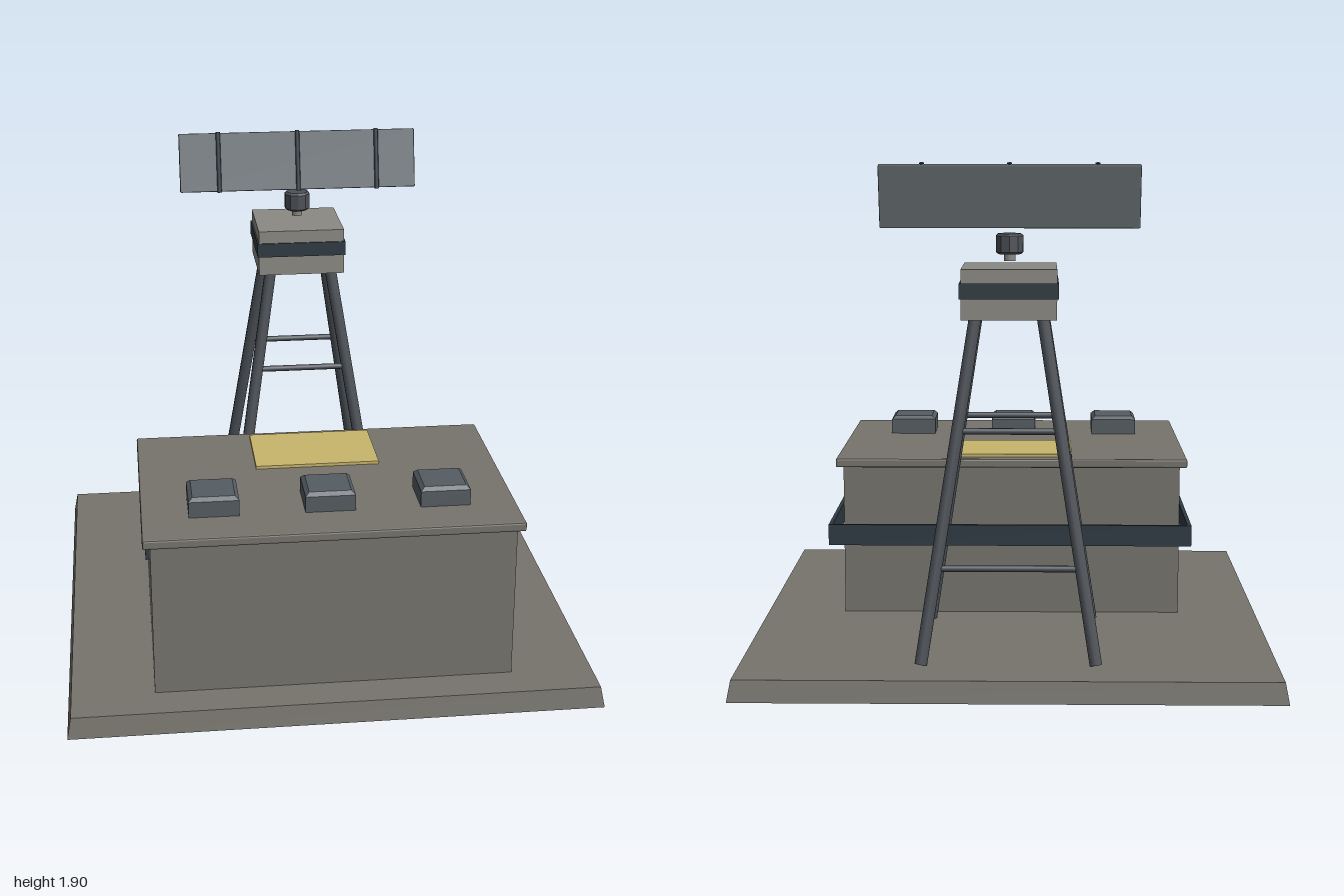
import * as THREE from 'three';
import { RoundedBoxGeometry } from 'three/addons/geometries/RoundedBoxGeometry.js';

const mat = (color, flatShading = false) => new THREE.MeshStandardMaterial({ color, flatShading });
const stone = mat(0x77746d, true);
const pale = mat(0x8c8a83);
const steel = mat(0x4c5157);
const dark = mat(0x303b43);
const ventGrey = mat(0x565d63, true);
const panelGrey = mat(0x6c7478);
const yellow = mat(0xc8b56c);

export function createModel() {
  const model = new THREE.Group();

  const add = (name, geometry, material, x, y, z, parent = model) => {
    const mesh = new THREE.Mesh(geometry, material);
    mesh.name = name;
    mesh.position.set(x, y, z);
    parent.add(mesh);
    return mesh;
  };
  // Box given by its centre in x and z and its bottom and top heights
  const box = (name, material, w, y0, y1, d, x, z) =>
    add(name, new THREE.BoxGeometry(w, y1 - y0, d), material, x, (y0 + y1) / 2, z);
  // Square block whose top is narrower than its bottom
  const frustum = (name, material, bottom, top, y0, y1, x, z) => {
    const g = new THREE.CylinderGeometry(top * Math.SQRT1_2, bottom * Math.SQRT1_2, y1 - y0, 4);
    g.rotateY(Math.PI / 4);
    return add(name, g, material, x, (y0 + y1) / 2, z);
  };
  // Round bar between two points
  const bar = (name, a, b, radius, material) => {
    const dir = b.clone().sub(a);
    const mid = a.clone().add(b).multiplyScalar(0.5);
    const mesh = add(name, new THREE.CylinderGeometry(radius, radius, dir.length(), 10), material, mid.x, mid.y, mid.z);
    mesh.quaternion.setFromUnitVectors(new THREE.Vector3(0, 1, 0), dir.normalize());
    return mesh;
  };

  // Ground slab with sloping sides
  frustum('baseSlab', stone, 2, 1.97, 0, 0.08, 0, 0);

  // Bunker and overhanging roof
  box('bunkerBody', stone, 1.35, 0.08, 0.68, 0.915, 0, 0.383);
  add('bunkerRoof', new RoundedBoxGeometry(1.406, 0.036, 0.97, 1, 0.007), stone, 0, 0.698, 0.38);
  box('roofPanel', yellow, 0.486, 0.714, 0.728, 0.325, 0, 0.105);

  // Row of roof vents with chamfered tops
  for (const x of [-0.433, 0, 0.433]) {
    box('ventBody', ventGrey, 0.188, 0.714, 0.778, 0.188, x, 0.593);
    frustum('ventCap', ventGrey, 0.188, 0.158, 0.778, 0.792, x, 0.593);
  }

  // Strap along both sides and across behind the bunker
  for (const s of [-1, 1]) box('sideStrap', dark, 0.015, 0.45, 0.53, 0.95, s * 0.682, 0.002);
  box('backStrap', dark, 1.379, 0.45, 0.53, 0.015, 0, -0.467);

  // Tower legs spread outward toward the ground
  const towerZ = -0.485;
  const spread = (y) => 0.32 - (y - 0.08) * 0.156;
  const legPoint = (sx, sz, y) => new THREE.Vector3(sx * spread(y), y, towerZ + sz * spread(y));
  for (const sz of [-1, 1]) {
    for (const sx of [-1, 1]) bar('towerLeg', legPoint(sx, sz, 0.085), legPoint(sx, sz, 1.34), 0.024, steel);
    for (const y of [0.43, 0.925]) bar('towerRung', legPoint(-1, sz, y), legPoint(1, sz, y), 0.012, steel);
  }

  // Tower head with a dark band
  box('towerHead', pale, 0.35, 1.33, 1.515, 0.35, 0, towerZ);
  box('headBand', dark, 0.362, 1.408, 1.465, 0.362, 0, towerZ);

  // Rotating mount
  add('mountNeck', new THREE.CylinderGeometry(0.022, 0.022, 0.035, 10), pale, 0, 1.5525, towerZ);
  const drum = new THREE.LatheGeometry(
    [[0, 1.56], [0.044, 1.56], [0.053, 1.568], [0.053, 1.628], [0.044, 1.636], [0, 1.636]]
      .map(([r, y]) => new THREE.Vector2(r, y)), 10);
  add('mountDrum', drum, mat(0x4c5157, true), 0, 0, towerZ);

  // Antenna leaning back, with ribs on its front
  const antenna = new THREE.Group();
  antenna.name = 'antenna';
  antenna.position.set(0, 1.771, -0.465);
  antenna.rotation.x = -0.235;
  model.add(antenna);
  add('antennaPanel', new RoundedBoxGeometry(0.97, 0.238, 0.03, 1, 0.004), panelGrey, 0, 0, 0, antenna);
  for (const x of [-0.325, 0, 0.325])
    add('antennaRib', new THREE.CylinderGeometry(0.009, 0.009, 0.246, 8), dark, x, 0, 0.016, antenna);

  return model;
}
